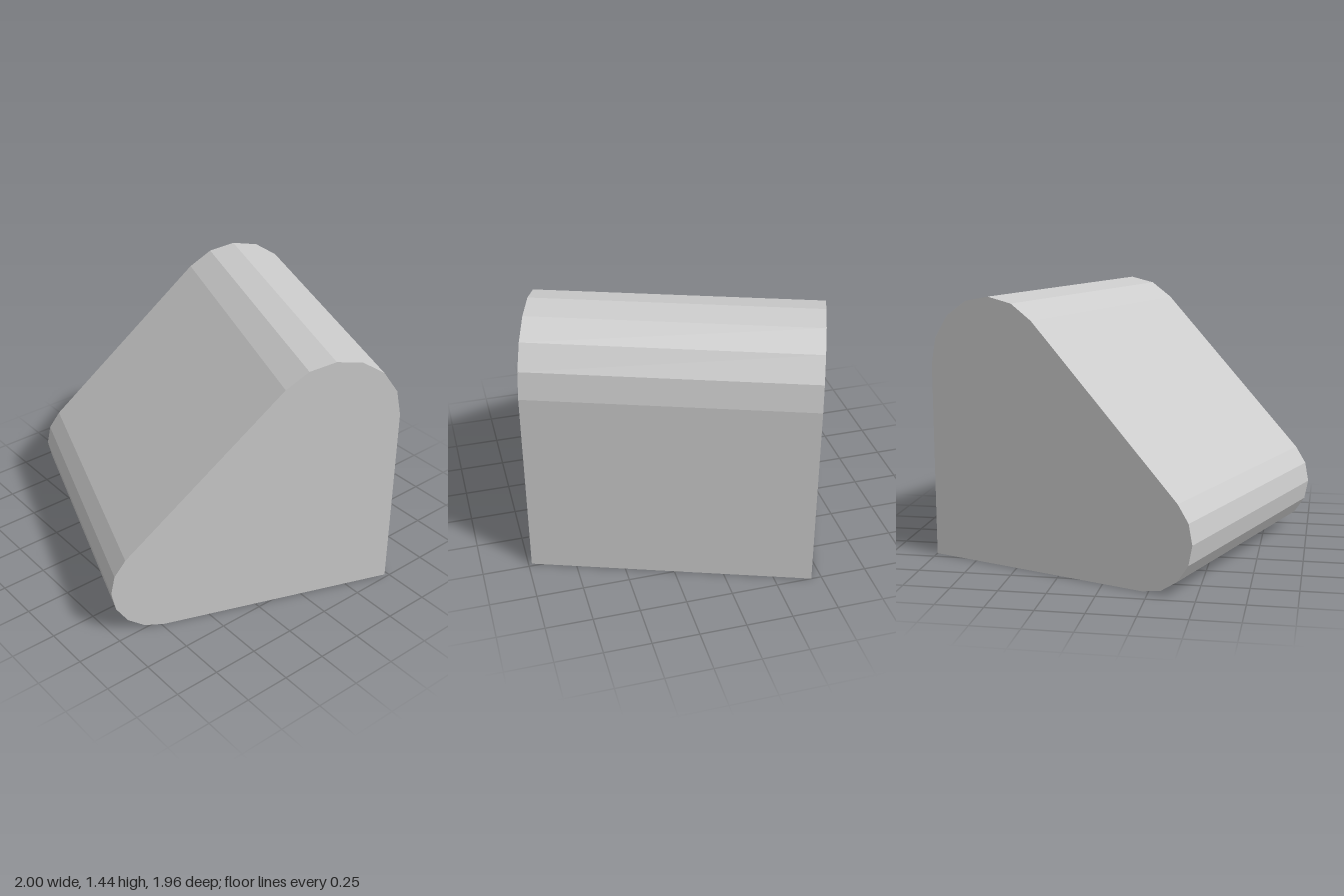
import * as THREE from 'three';

export function createModel() {
  const group = new THREE.Group();
  const halfWidth = 0.788, depth = 1.517;
  const points = [];

  // Corner rounding: points on an arc between two angles in degrees
  const addArc = (cx, cy, r, from, to, steps = 6) => {
    for (let i = 0; i <= steps; i++) {
      const a = THREE.MathUtils.degToRad(from + ((to - from) * i) / steps);
      points.push(new THREE.Vector2(cx + r * Math.cos(a), cy + r * Math.sin(a)));
    }
  };

  // Wedge profile: square corner, rounded crest, 45 degree slope, rounded toe
  points.push(new THREE.Vector2(halfWidth, 0));
  addArc(halfWidth - 0.378, 1.06, 0.378, 0, 135);
  addArc(-halfWidth + 0.28, 0.28, 0.28, 135, 270);

  const geometry = new THREE.ExtrudeGeometry(new THREE.Shape(points), {
    depth, bevelEnabled: false,
  });
  geometry.translate(0, 0, -depth / 2);

  const wedge = new THREE.Mesh(
    geometry,
    new THREE.MeshStandardMaterial({ color: 0xcccccc, flatShading: true })
  );
  wedge.name = 'roundedWedge';
  wedge.rotation.y = THREE.MathUtils.degToRad(-20);
  group.add(wedge);
  return group;
}
